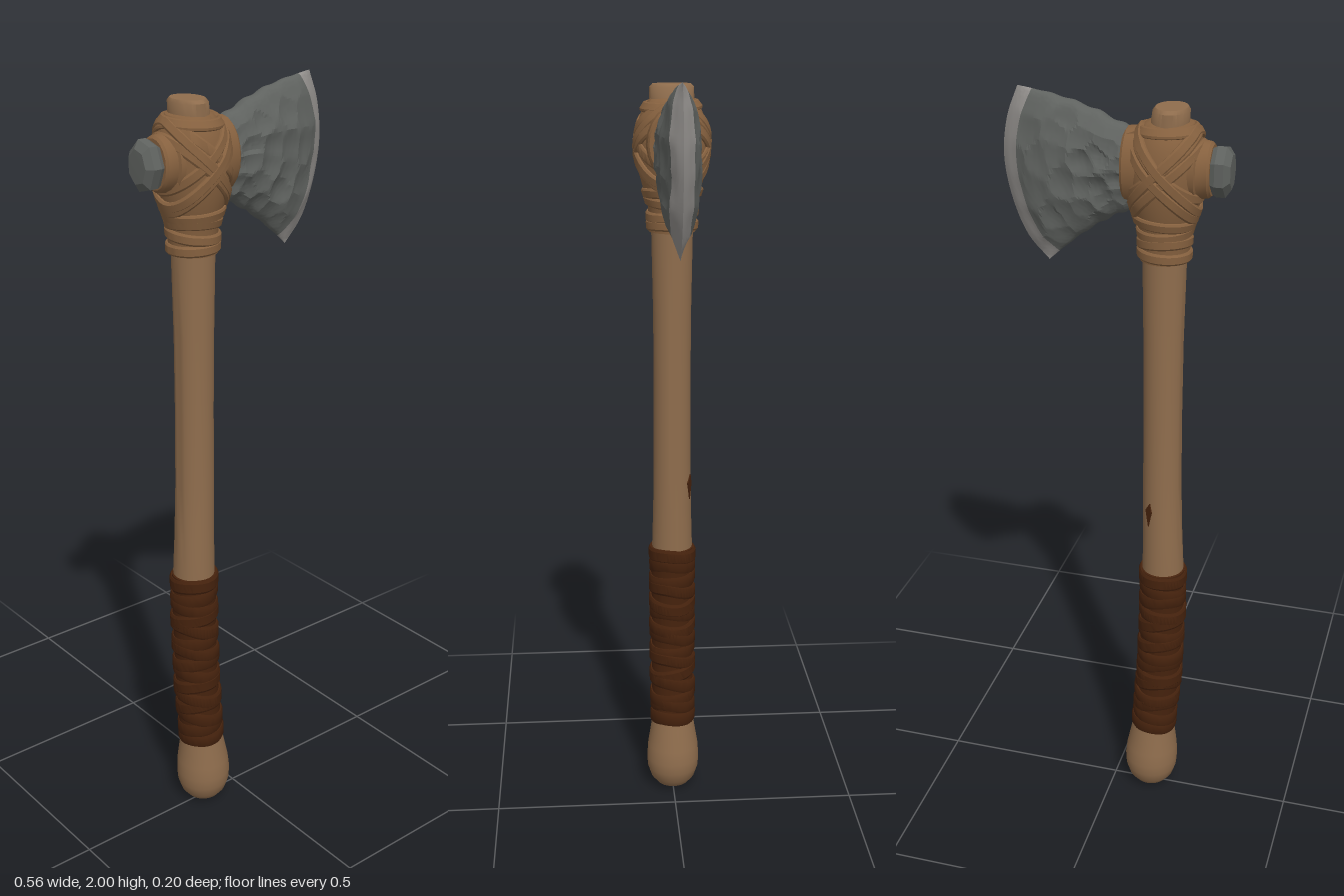
import * as THREE from 'three';
import { toCreasedNormals } from 'three/addons/utils/BufferGeometryUtils.js';

const material = (name, color) => {
  const m = new THREE.MeshStandardMaterial({ color });
  m.name = name;
  return m;
};

// Small seeded random
function seeded(seed) {
  return () => {
    seed = (seed * 16807) % 2147483647;
    return seed / 2147483647;
  };
}

// Piecewise-linear lookup in a list of [key, value]
function interp(table, k) {
  for (let i = 1; i < table.length; i++) {
    const [k0, v0] = table[i - 1], [k1, v1] = table[i];
    if (k <= k1) return v0 + (v1 - v0) * Math.max(0, (k - k0) / (k1 - k0));
  }
  return table[table.length - 1][1];
}

// Gentle bend of the handle: centre x at each height
const BEND = [[0, -0.107], [0.1, -0.107], [0.2, -0.111], [0.4, -0.126], [0.6, -0.132], [0.75, -0.131],
  [1, -0.125], [1.4, -0.122], [1.83, -0.121], [1.9, -0.126], [1.98, -0.133]];
const centreX = (y) => interp(BEND, y);

// Radius of the binding around the head at each height
const HEAD = [[1.61, 0.06], [1.68, 0.062], [1.72, 0.074], [1.76, 0.085], [1.81, 0.091],
  [1.85, 0.091], [1.89, 0.084], [1.92, 0.072], [1.94, 0.056]];

// Lathe from [y, radius] pairs, bent along the handle
function bentLathe(profile, crease = 0.7, flattenTop = false) {
  const geo = new THREE.LatheGeometry(profile.map(([y, r]) => new THREE.Vector2(r, y)), 32);
  const p = geo.attributes.position;
  for (let i = 0; i < p.count; i++) {
    const y = p.getY(i);
    const f = flattenTop ? THREE.MathUtils.smoothstep(y, 1.85, 1.95) : 0;
    p.setXYZ(i, p.getX(i) * (1 - 0.2 * f) + centreX(y), y, p.getZ(i) * (1 + 0.04 * f));
  }
  return toCreasedNormals(geo, crease);
}

// Closed flat strap around the handle, tilted towards angle phase
function strap({ y, tilt, phase = 0, halfWidth, thick, radius, ripple = 0 }) {
  const steps = 44, verts = [], index = [];
  const at = (a) => {
    const py = y + tilt * Math.cos(a - phase) + ripple * Math.sin(3 * a + phase);
    const r = radius(py);
    return new THREE.Vector3(centreX(py) + r * Math.cos(a), py, r * Math.sin(a));
  };
  const section = [[-1, -1], [-1, 0.3], [-0.65, 1], [0.65, 1], [1, 0.3], [1, -1]];
  const n = section.length;
  for (let i = 0; i < steps; i++) {
    const a = (i / steps) * Math.PI * 2, p = at(a);
    const t = at(a + 0.02).sub(at(a - 0.02)).normalize();
    const slope = (radius(p.y + 0.01) - radius(p.y - 0.01)) / 0.02;
    const out = new THREE.Vector3(Math.cos(a), -slope, Math.sin(a)).normalize();
    const side = new THREE.Vector3().crossVectors(t, out).normalize();
    for (const [b, h] of section) {
      const q = p.clone().addScaledVector(side, b * halfWidth).addScaledVector(out, h * thick);
      verts.push(q.x, q.y, q.z);
    }
    const j = (i + 1) % steps;
    for (let k = 0; k < n; k++) {
      const l = (k + 1) % n;
      index.push(i * n + k, i * n + l, j * n + l, i * n + k, j * n + l, j * n + k);
    }
  }
  return toCreasedNormals(buildGeometry(verts, index), 0.5);
}

function buildGeometry(verts, index) {
  const geo = new THREE.BufferGeometry();
  geo.setAttribute('position', new THREE.Float32BufferAttribute(verts, 3));
  geo.setIndex(index);
  return geo;
}

// Cutting edge outline, bottom to top
const EDGE = new THREE.CatmullRomCurve3([[0.17, 1.58], [0.222, 1.637], [0.26, 1.725], [0.279, 1.83], [0.268, 1.925],
  [0.24, 2.0]].map(([x, y]) => new THREE.Vector3(x, y, 0)));
const THICKNESS = [[0, 0.05], [0.3, 0.056], [0.6, 0.053], [0.78, 0.046], [0.88, 0.033], [0.95, 0.016], [1, 0]];

// Chipped hollows: a jittered grid of centres for each face
function chipCentres(seed) {
  const rnd = seeded(seed), list = [];
  for (let i = 0; i < 6; i++) for (let j = 0; j < 6; j++) {
    list.push([(i + 0.1 + 0.8 * rnd()) / 6, (j + 0.1 + 0.8 * rnd()) / 6, 0.6 + 0.7 * rnd()]);
  }
  return list;
}

// Two lens-shaped faces of the blade between u0 (neck) and u1 (edge)
function bladeGeometry(u0, u1, nu) {
  const nv = 44, verts = [], index = [];
  [1, -1].forEach((side, s) => {
    const chips = chipCentres(s ? 911 : 4177), base = verts.length / 3;
    for (let i = 0; i <= nu; i++) for (let j = 0; j <= nv; j++) {
      const u = u0 + (u1 - u0) * i / nu;
      const v = 0.5 - 0.5 * Math.cos(Math.PI * j / nv);
      const e = EDGE.getPoint(v);
      const nick = Math.sin(u * 31 + v * 4) * 0.004 * Math.abs(2 * v - 1) * (1 - u);
      const x = -0.06 + (e.x + 0.06) * u;
      const y = 1.738 + 0.17 * v + (e.y - 1.738 - 0.17 * v) * u + 0.016 * Math.sin(Math.PI * u) + nick;
      let best = 9, depth = 1;
      for (const [cu, cv, d] of chips) {
        const dist = (u - cu) ** 2 * 1.3 + (v - cv) ** 2;
        if (dist < best) { best = dist; depth = d; }
      }
      const hollow = 0.24 * depth * Math.max(0, 1 - best * 60);
      const lens = Math.sqrt(Math.max(0, 1 - (2 * v - 1) ** 2));
      verts.push(x, y, side * interp(THICKNESS, u) * lens * (1.05 - hollow));
    }
    for (let i = 0; i < nu; i++) for (let j = 0; j < nv; j++) {
      const a = base + i * (nv + 1) + j, b = a + nv + 1;
      if (side > 0) index.push(a, b, b + 1, a, b + 1, a + 1);
      else index.push(a, b + 1, b, a, a + 1, b + 1);
    }
  });
  return toCreasedNormals(buildGeometry(verts, index), 0.3);
}

// Lathe lying along -x from [distance, radius] pairs
function sideLathe(profile, sides, scaleZ, crease) {
  const geo = new THREE.LatheGeometry(profile.map(([d, r]) => new THREE.Vector2(r, d)), sides);
  geo.rotateZ(Math.PI / 2).scale(1, 1, scaleZ).translate(0, 1.835, 0);
  return toCreasedNormals(geo, crease);
}

export function createModel() {
  const wood = material('wood', 0x8f6d4d);
  const binding = material('binding', 0x86613f);
  const leather = material('leather', 0x45220d);
  const stone = material('stone', 0x5f625f);
  const edge = material('sharpened edge', 0x918e8b);

  const model = new THREE.Group();
  model.name = 'stoneAxe';
  const add = (name, geo, mat, parent = model) => {
    const mesh = new THREE.Mesh(geo, mat);
    mesh.name = name;
    parent.add(mesh);
    return mesh;
  };
  const group = (name) => {
    const g = new THREE.Group();
    g.name = name;
    model.add(g);
    return g;
  };

  // Handle with rounded knob
  add('handle', bentLathe([[0.005, 0], [0.008, 0.025], [0.02, 0.046], [0.04, 0.062], [0.07, 0.072], [0.1, 0.074],
    [0.14, 0.071], [0.2, 0.061], [0.3, 0.055], [0.4, 0.054], [0.6, 0.054], [0.75, 0.055], [0.85, 0.052], [1, 0.05],
    [1.2, 0.049], [1.4, 0.05], [1.62, 0.054], [1.8, 0.055], [1.9, 0.055], [1.935, 0.055], [1.968, 0.054],
    [1.976, 0.047], [1.976, 0]], 0.7, true), wood);

  // Small dark knot low on the back of the handle
  const knotShape = new THREE.Shape([[0, -0.036], [0.01, 0.008], [0.004, 0.034], [-0.01, 0.012]]
    .map(([x, y]) => new THREE.Vector2(x, y)));
  const knot = add('knot', new THREE.ExtrudeGeometry(knotShape, { depth: 0.004, bevelEnabled: false }), leather);
  knot.position.set(centreX(0.92) + 0.025, 0.92, -0.0433);
  knot.rotation.y = Math.PI * 5 / 6;

  // Leather grip: core plus tilted straps
  const grip = group('grip');
  const rnd = seeded(77);
  add('gripCore', bentLathe([[0.21, 0.05], [0.212, 0.06], [0.3, 0.058], [0.4, 0.058], [0.6, 0.058], [0.738, 0.059],
    [0.742, 0.05]]), leather, grip);
  for (let i = 0; i < 15; i++) {
    const end = i === 0 || i === 14;
    add('gripStrap', strap({
      y: 0.232 + i * 0.0348, tilt: end ? 0.004 : (i % 2 ? 1 : -0.7) * (0.01 + 0.014 * rnd()), phase: rnd() * 1.2,
      halfWidth: 0.019, thick: 0.004 + 0.002 * rnd(), radius: () => 0.0595, ripple: 0.002,
    }), leather, grip);
  }

  // Head binding: swollen core, collars around the stone, crossing straps
  const head = group('headBinding');
  add('bindingCore', bentLathe([[1.61, 0.05], ...HEAD, [1.942, 0.045]]), binding, head);
  add('buttCollar', sideLathe([[0.1, 0.078], [0.2, 0.078], [0.203, 0.07], [0.228, 0.066], [0.234, 0.06], [0.234, 0]],
    20, 0.84, 0.5), binding, head);
  add('bladeCollar', sideLathe([[0.024, 0], [0.024, 0.084], [0.03, 0.09], [0.06, 0.094], [0.1, 0.09]],
    20, 0.74, 0.5), binding, head);
  const headRadius = (y) => interp(HEAD, y) + 0.002;
  for (const s of [1, -1]) {
    [[1.83, 0.098], [1.805, 0.088], [1.848, 0.078]].forEach(([y, tilt], i) => add('crossStrap', strap({
      y, tilt: s * tilt, phase: s * 0.12 * (i - 1), halfWidth: 0.013, thick: 0.004 + 0.0012 * (2 - i) + (s > 0 ? 0.001 : 0),
      radius: headRadius,
    }), binding, head));
  }
  [[1.627, 0.003], [1.656, -0.008], [1.684, 0.007], [1.708, -0.006], [1.925, 0.004]].forEach(([y, tilt], i) =>
    add('neckStrap', strap({ y, tilt, phase: i, halfWidth: 0.013, thick: 0.005, radius: headRadius }), binding, head));
  // Wedge between handle top and blade
  const wedge = add('wedge', new THREE.BoxGeometry(0.06, 0.05, 0.055), binding, head);
  wedge.position.set(-0.07, 1.9, -0.005);
  wedge.rotation.z = -0.35;

  // Stone head: chipped blade, pale cutting edge and butt
  add('blade', bladeGeometry(0, 0.88, 48), stone);
  add('cuttingEdge', bladeGeometry(0.88, 1, 8), edge);
  const butt = sideLathe([[0.18, 0.05], [0.225, 0.05], [0.245, 0.062], [0.266, 0.062], [0.28, 0.042], [0.281, 0]], 7, 0.82, 0.1);
  add('butt', butt, stone);

  return model;
}
